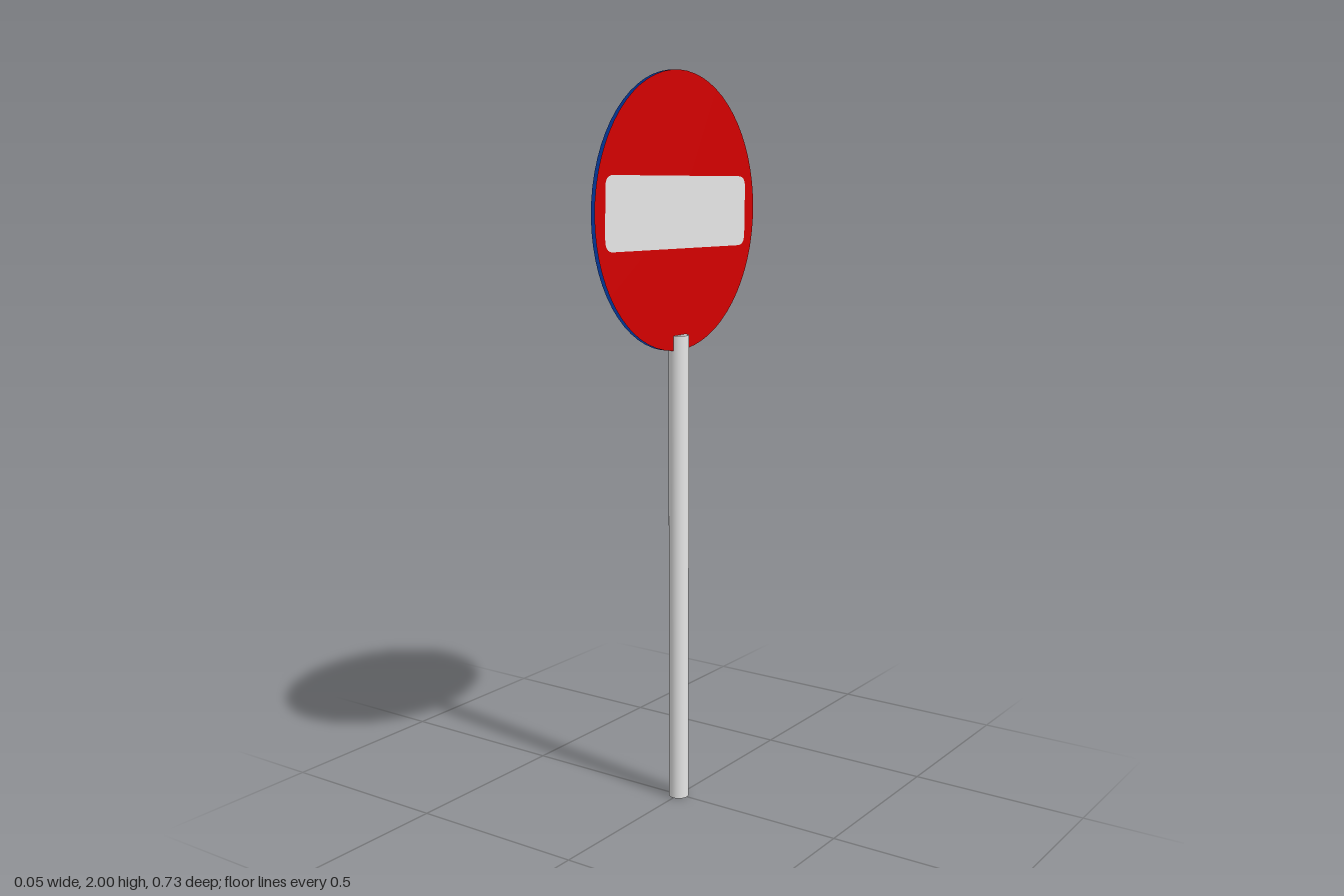
import * as THREE from 'three';

const RADIUS = 0.366, CENTRE_Y = 1.635, POLE_HEIGHT = 1.31, POLE_RADIUS = 0.0275;

function material(name, color) {
  const m = new THREE.MeshStandardMaterial({ color, side: THREE.DoubleSide });
  m.name = name;
  return m;
}

function mesh(name, geometry, mat) {
  const m = new THREE.Mesh(geometry, mat);
  m.name = name;
  return m;
}

// Bar with rounded corners, centred on the origin
function barShape(w, h, r) {
  const x = w / 2, y = h / 2, s = new THREE.Shape();
  s.moveTo(-x + r, -y);
  s.lineTo(x - r, -y);
  s.quadraticCurveTo(x, -y, x, -y + r);
  s.lineTo(x, y - r);
  s.quadraticCurveTo(x, y, x - r, y);
  s.lineTo(-x + r, y);
  s.quadraticCurveTo(-x, y, -x, y - r);
  s.lineTo(-x, -y + r);
  s.quadraticCurveTo(-x, -y, -x + r, -y);
  return s;
}

// Arrow rising from the bottom and bending to the left
function arrowShape() {
  const s = new THREE.Shape();
  s.moveTo(0.07, -0.272);
  s.lineTo(0.18, -0.272);
  s.lineTo(0.18, -0.045);
  s.bezierCurveTo(0.18, 0.05, 0.13, 0.1, 0.03, 0.1);
  s.lineTo(-0.085, 0.112);
  s.lineTo(-0.085, 0.19);
  s.lineTo(-0.3, 0.055);
  s.lineTo(-0.095, -0.1);
  s.lineTo(-0.095, -0.015);
  s.lineTo(0.02, -0.015);
  s.quadraticCurveTo(0.07, -0.015, 0.07, -0.07);
  s.closePath();
  return s;
}

// One painted side of the sign: a disc at the given offset with its mark just in front
function signFace(name, discMat, markName, markShape, markMat, turn, offset) {
  const face = new THREE.Group();
  face.name = name;
  const disc = mesh(name + 'Disc', new THREE.CircleGeometry(RADIUS, 64), discMat);
  disc.position.z = offset;
  const mark = mesh(markName, new THREE.ShapeGeometry(markShape, 10), markMat);
  mark.position.z = offset + 0.0015;
  face.add(disc, mark);
  face.position.y = CENTRE_Y;
  face.rotation.y = turn;
  return { face, mark };
}

export function createModel() {
  const grey = material('light grey', 0xe6e6e6);
  const red = material('sign red', 0xd40000);
  const blue = material('sign blue', 0x003492);

  const model = new THREE.Group();
  model.name = 'roadSign';

  // Pole
  const pole = mesh('pole', new THREE.CylinderGeometry(POLE_RADIUS, POLE_RADIUS, POLE_HEIGHT, 32), grey);
  pole.position.set(0, POLE_HEIGHT / 2, 0.001);
  model.add(pole);

  // Red side faces +x, with a slightly tilted bar
  const stop = signFace('redFace', red, 'bar', barShape(0.643, 0.19, 0.032), grey, Math.PI / 2, 0.002);
  stop.mark.position.x = -0.003;
  stop.mark.rotation.z = -0.016;

  // Blue side faces -x, with the bent arrow
  const turn = signFace('blueFace', blue, 'arrow', arrowShape(), grey, -Math.PI / 2, 0.009);

  model.add(stop.face, turn.face);
  return model;
}
